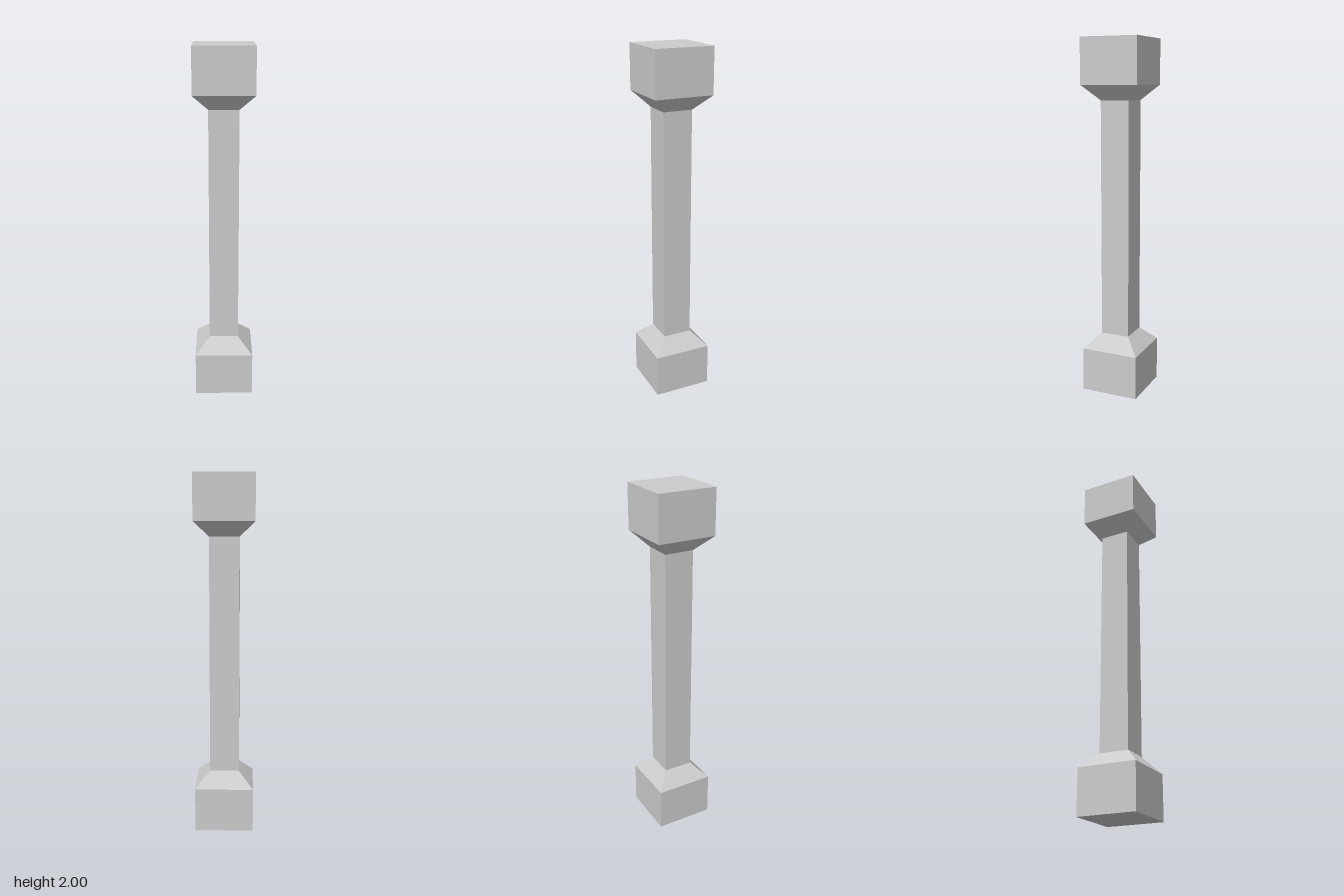
import * as THREE from 'three';

const WIDE = 0.165;   // half width of base and capital
const NARROW = 0.083; // half width of shaft
const BLOCK = 0.25;   // height of base and capital blocks
const TAPER = 0.083;  // height of the sloped transitions

const material = new THREE.MeshStandardMaterial({ color: 0xcccccc, flatShading: true });

// Square section from y0 to y1 with given half widths; open where it meets its neighbours
function section(name, y0, y1, bottom, top, open) {
  const geometry = new THREE.CylinderGeometry(
    top * Math.SQRT2, bottom * Math.SQRT2, y1 - y0, 4, 1, open);
  geometry.rotateY(Math.PI / 4);
  geometry.translate(0, (y0 + y1) / 2, 0);
  const mesh = new THREE.Mesh(geometry, material);
  mesh.name = name;
  return mesh;
}

export function createModel() {
  const group = new THREE.Group();
  group.name = 'squareColumn';
  const low = BLOCK + TAPER;
  group.add(
    // Foot of the column
    section('baseBlock', 0, BLOCK, WIDE, WIDE, false),
    section('baseTaper', BLOCK, low, WIDE, NARROW, true),
    // Square shaft
    section('shaft', low, 2 - low, NARROW, NARROW, true),
    // Head of the column, mirroring the foot
    section('capitalTaper', 2 - low, 2 - BLOCK, NARROW, WIDE, true),
    section('capitalBlock', 2 - BLOCK, 2, WIDE, WIDE, false),
  );
  return group;
}
